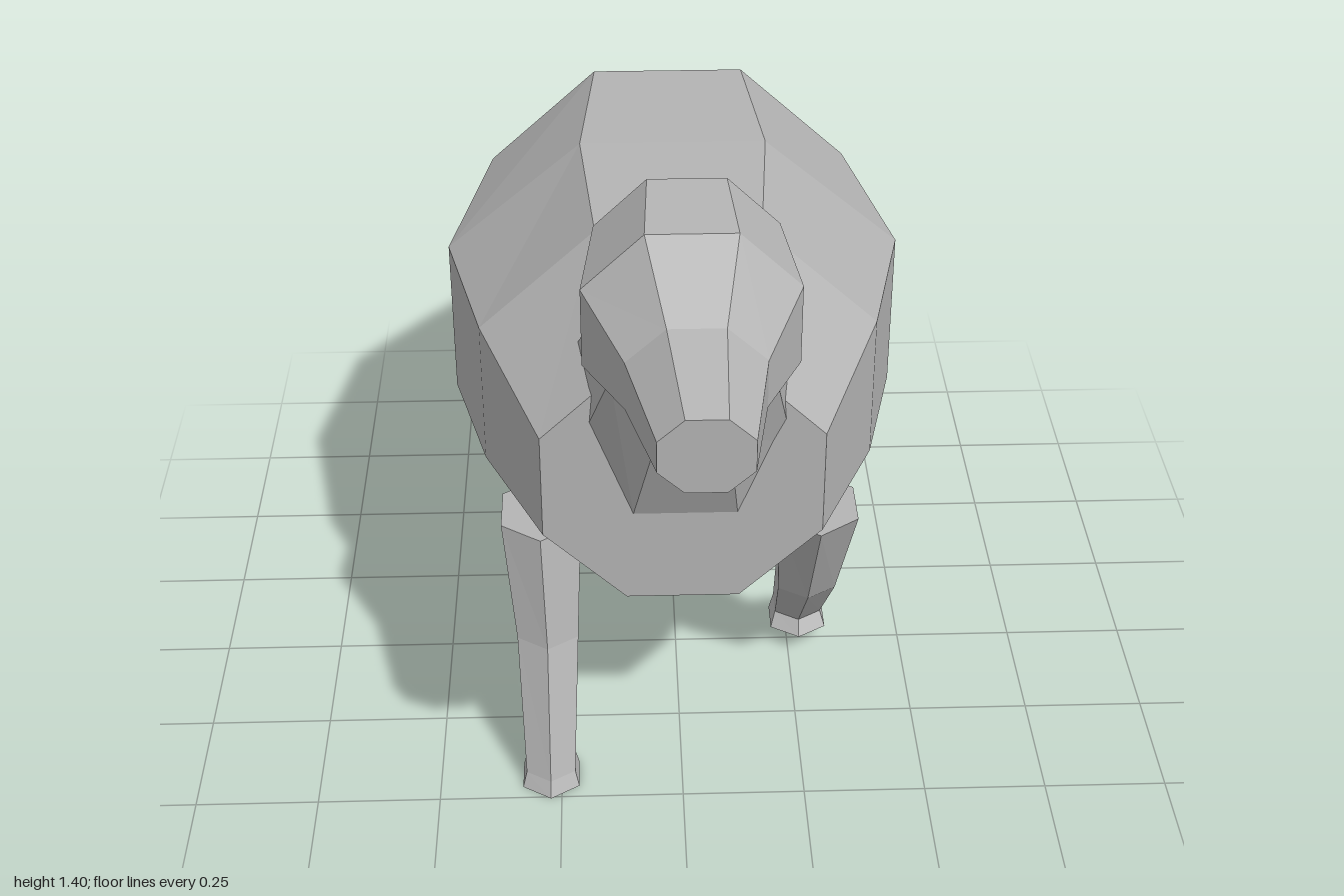
import * as THREE from 'three';

const grey = new THREE.MeshStandardMaterial({ color: 0xb4b4b4, flatShading: true });
grey.name = 'grey';

// Octagonal section between a top and a bottom point [z, y]
function octagon(cx, wEdge, wSide, top, bottom) {
  const at = (x, t) => new THREE.Vector3(
    cx + x,
    top[1] + (bottom[1] - top[1]) * t,
    top[0] + (bottom[0] - top[0]) * t);
  return [
    at(wEdge, 0), at(wSide, 0.29), at(wSide, 0.71), at(wEdge, 1),
    at(-wEdge, 1), at(-wSide, 0.71), at(-wSide, 0.29), at(-wEdge, 0),
  ];
}

// Level hexagonal section with corners pointing to the front and back
function hexagon(cx, y, z, rx, rz) {
  return [[0, 1], [1, 0.5], [1, -0.5], [0, -1], [-1, -0.5], [-1, 0.5]]
    .map(([a, b]) => new THREE.Vector3(cx + a * rx, y, z + b * rz));
}

// Capped skin over a row of sections, turned so that faces point outwards
function loft(name, rings) {
  const tris = [];
  const n = rings[0].length;
  for (let r = 0; r < rings.length - 1; r++) {
    for (let i = 0; i < n; i++) {
      const j = (i + 1) % n;
      const a = rings[r][i], b = rings[r][j], c = rings[r + 1][j], d = rings[r + 1][i];
      tris.push([a, b, c], [a, c, d]);
    }
  }
  const last = rings[rings.length - 1];
  for (let i = 1; i < n - 1; i++) {
    tris.push([rings[0][0], rings[0][i + 1], rings[0][i]], [last[0], last[i], last[i + 1]]);
  }
  const volume = tris.reduce((s, [a, b, c]) => s + a.dot(b.clone().cross(c)), 0);
  if (volume < 0) tris.forEach((t) => t.reverse());
  const geometry = new THREE.BufferGeometry().setFromPoints(tris.flat());
  geometry.computeVertexNormals();
  const mesh = new THREE.Mesh(geometry, grey);
  mesh.name = name;
  return mesh;
}

export function createModel() {
  const model = new THREE.Group();
  model.name = 'animal';

  // Barrel-shaped body: z, top, bottom, edge half-width, side half-width
  model.add(loft('body', [
    [0.45, 1.01, 0.48, 0.11, 0.27],
    [0.18, 1.15, 0.42, 0.16, 0.39],
    [-0.19, 1.15, 0.335, 0.19, 0.47],
    [-0.56, 1.14, 0.42, 0.16, 0.39],
    [-0.85, 0.975, 0.48, 0.105, 0.26],
  ].map(([z, top, bottom, e, s]) => octagon(0, e, s, [z, top], [z, bottom]))));

  // Neck leaning forward from the chest into the head
  model.add(loft('neck', [
    octagon(0.005, 0.1, 0.205, [0.28, 1.11], [0.45, 0.68]),
    octagon(0.015, 0.065, 0.15, [0.46, 1.3], [0.56, 0.93]),
    octagon(0.01, 0.08, 0.15, [0.5, 1.32], [0.565, 1.1]),
  ]));

  // Head tapering to a blunt muzzle
  model.add(loft('head', [
    [0.46, 1.405, 1.09, 0.07, 0.165, 0.005],
    [0.65, 1.4, 1.04, 0.08, 0.19, 0.007],
    [0.79, 1.3, 1.08, 0.05, 0.12, 0.01],
    [1.0, 1.26, 1.12, 0.035, 0.08, 0.018],
  ].map(([z, top, bottom, e, s, x]) => octagon(x, e, s, [z, top], [z, bottom]))));

  // Walking legs, each section: y, z, half-width, half-depth
  const legs = {
    frontLeftLeg: [0.28, [
      [0.54, 0.235, 0.08, 0.11], [0.28, 0.14, 0.06, 0.075],
      [0.08, -0.025, 0.05, 0.062], [0.05, -0.012, 0.06, 0.073]]],
    frontRightLeg: [-0.28, [
      [0.54, 0.235, 0.08, 0.11], [0.3, 0.31, 0.062, 0.08],
      [0.03, 0.425, 0.05, 0.062], [0, 0.432, 0.058, 0.073]]],
    backLeftLeg: [0.28, [
      [0.54, -0.62, 0.08, 0.115], [0.31, -0.52, 0.062, 0.085],
      [0.05, -0.39, 0.05, 0.062], [0.02, -0.38, 0.06, 0.073]]],
    backRightLeg: [-0.28, [
      [0.54, -0.62, 0.08, 0.115], [0.29, -0.76, 0.062, 0.085],
      [0.035, -0.805, 0.05, 0.062], [0.005, -0.795, 0.058, 0.075]]],
  };
  for (const [name, [x, sections]] of Object.entries(legs)) {
    model.add(loft(name, sections.map(([y, z, rx, rz], i) =>
      hexagon(x - Math.sign(x) * (i ? 0.008 : 0), y, z, rx, rz))));
  }

  // Short drooping tail
  model.add(loft('tail', [
    octagon(0, 0.025, 0.05, [-0.82, 0.95], [-0.82, 0.85]),
    octagon(0.005, 0.02, 0.042, [-0.92, 0.85], [-0.925, 0.765]),
    octagon(0.02, 0.012, 0.03, [-1.0, 0.68], [-0.995, 0.66]),
  ]));

  return model;
}
